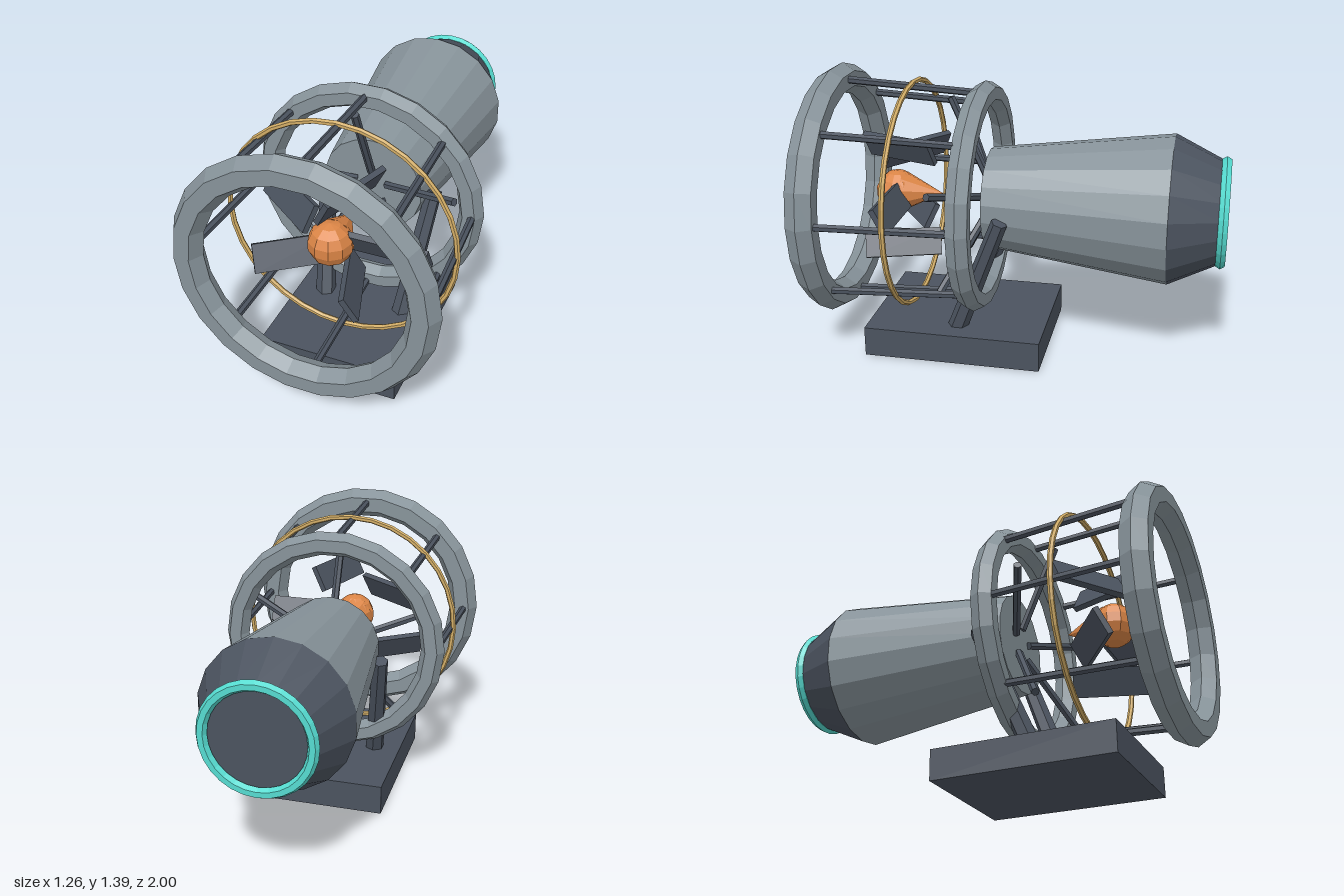
import * as THREE from 'three';

const CY = 0.765; // height of the engine axis

const flat = (name, color) => {
  const m = new THREE.MeshStandardMaterial({ color, flatShading: true });
  m.name = name;
  return m;
};

export function createModel() {
  const steel = flat('steel grey', 0x87939a);
  const dark = flat('dark slate', 0x4b535f);
  const orange = flat('copper orange', 0xdb8546);
  const teal = flat('glowing teal', 0x55dbd0);
  const gold = flat('brass', 0xd2ad66);

  const model = new THREE.Group();
  model.name = 'turbineEngine';
  const engine = new THREE.Group();
  engine.name = 'engine';
  engine.position.y = CY;
  model.add(engine);

  const add = (parent, name, geometry, material, x = 0, y = 0, z = 0) => {
    const mesh = new THREE.Mesh(geometry, material);
    mesh.name = name;
    mesh.position.set(x, y, z);
    parent.add(mesh);
    return mesh;
  };

  // Straight bar between two points
  const bar = (parent, name, a, b, ra, rb, sides, material) => {
    const dir = b.clone().sub(a);
    const mesh = add(parent, name, new THREE.CylinderGeometry(rb, ra, dir.length(), sides), material);
    mesh.position.copy(a).lerp(b, 0.5);
    mesh.quaternion.setFromUnitVectors(new THREE.Vector3(0, 1, 0), dir.normalize());
    return mesh;
  };
  const polar = (r, a, z) => new THREE.Vector3(r * Math.cos(a), r * Math.sin(a), z);

  // Cone frustum along z, from the front radius to the back radius
  const frustum = (name, rFront, rBack, zFront, zBack, material) => {
    const g = new THREE.CylinderGeometry(rFront, rBack, zFront - zBack, 18);
    g.rotateX(Math.PI / 2);
    return add(engine, name, g, material, 0, 0, (zFront + zBack) / 2);
  };

  // Stand
  add(model, 'base', new THREE.BoxGeometry(0.69, 0.15, 0.885), dark, 0, 0.075, 0.297);
  for (const s of [1, -1]) {
    bar(model, s > 0 ? 'leftLeg' : 'rightLeg',
      new THREE.Vector3(s * 0.205, 0.12, 0.3), new THREE.Vector3(s * 0.28, 0.74, 0.06),
      0.05, 0.04, 6, dark);
  }

  // Body, tail cone and exhaust
  frustum('body', 0.25, 0.365, 0.16, -0.73, steel);
  frustum('tailCone', 0.365, 0.25, -0.73, -0.97, dark);
  add(engine, 'exhaustRing', new THREE.TorusGeometry(0.245, 0.026, 6, 28), teal, 0, 0, -0.976);

  // Cage rings and the struts between them
  add(engine, 'frontRing', new THREE.TorusGeometry(0.555, 0.075, 6, 22), steel, 0, 0, 0.935);
  add(engine, 'rearRing', new THREE.TorusGeometry(0.515, 0.06, 6, 22), steel, 0, 0, 0.202);
  add(engine, 'brassRing', new THREE.TorusGeometry(0.562, 0.014, 6, 32), gold, 0, 0, 0.545);
  for (let i = 0; i < 8; i++) {
    const a = i * Math.PI / 4;
    bar(engine, 'cageStrut', polar(0.525, a, 0.2), polar(0.563, a, 0.93), 0.019, 0.019, 6, dark);
  }

  // Slanted spokes in front of the body
  for (let i = 0; i < 5; i++) {
    const a = Math.PI / 2 + i * Math.PI * 2 / 5;
    bar(engine, 'spoke', polar(0.08, a, 0.17), polar(0.5, a, 0.355), 0.02, 0.02, 6, dark);
  }

  // Fan: hub, tail of the hub and five twisted blades
  add(engine, 'hub', new THREE.SphereGeometry(0.107, 10, 7), orange, 0, 0, 0.645);
  const cone = new THREE.ConeGeometry(0.102, 0.2, 10);
  cone.rotateX(-Math.PI / 2);
  add(engine, 'hubTail', cone, orange, 0, 0, 0.51);
  for (let i = 0; i < 5; i++) {
    const a = i * Math.PI * 2 / 5;
    const p = polar(0.263, a, 0.6);
    const blade = add(engine, 'fanBlade', new THREE.BoxGeometry(0.38, 0.138, 0.028), dark, p.x, p.y, p.z);
    blade.rotation.set(0.5, a, 0, 'YXZ');
  }

  return model;
}
